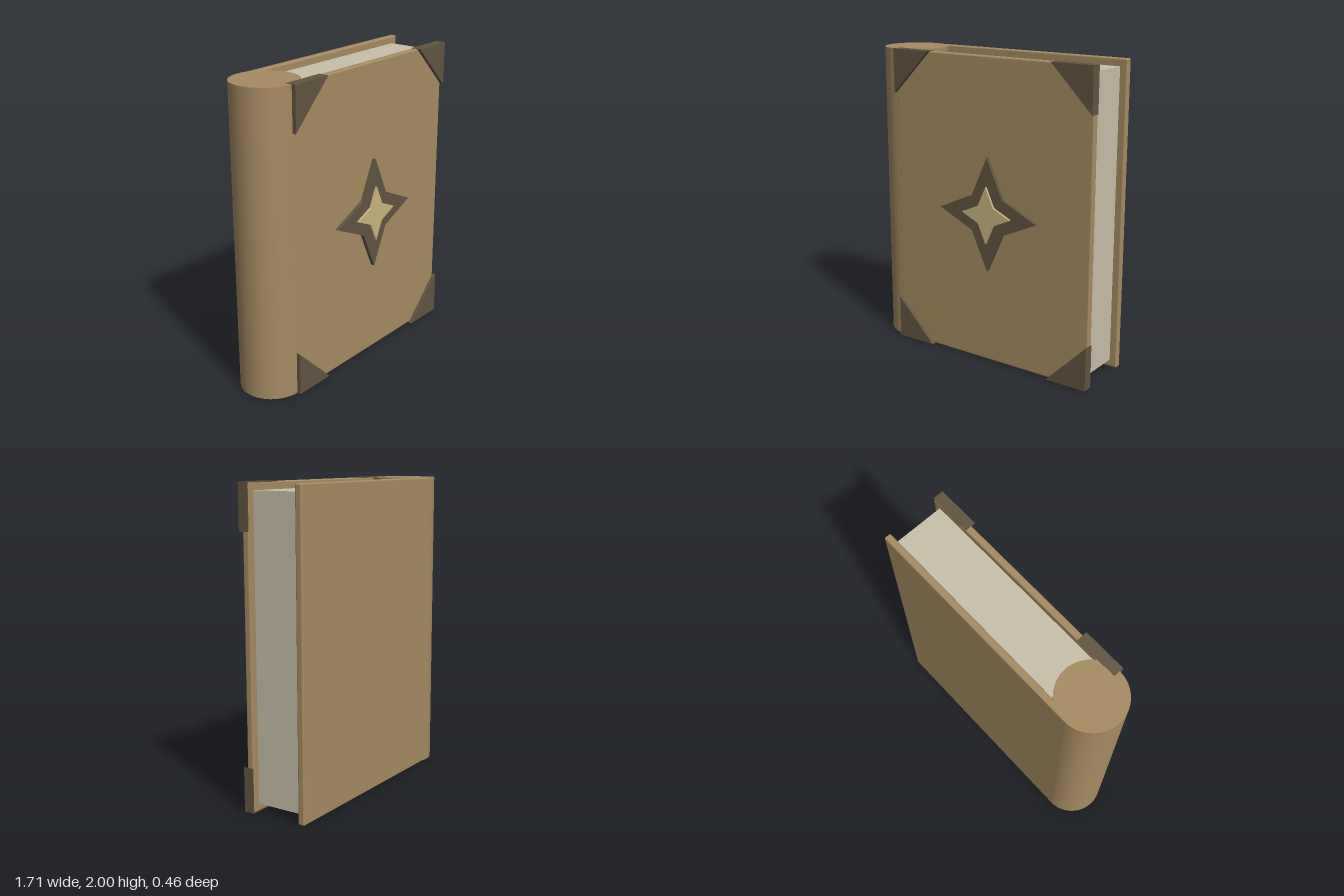
import * as THREE from 'three';
import { RoundedBoxGeometry } from 'three/addons/geometries/RoundedBoxGeometry.js';

const material = (name, color) => Object.assign(new THREE.MeshStandardMaterial({ color }), { name });

export function createModel() {
  const leather = material('leather', 0xa68b61);
  const paper = material('paper', 0xc9c0a9);
  const darkTrim = material('dark trim', 0x625540);
  const gold = material('pale gold', 0xcab581);

  const book = new THREE.Group();
  book.name = 'book';
  const add = (name, geometry, mat, x, y, z) => {
    const mesh = new THREE.Mesh(geometry, mat);
    mesh.name = name;
    mesh.position.set(x, y, z);
    book.add(mesh);
    return mesh;
  };
  const plate = (points, depth) => new THREE.ExtrudeGeometry(
    new THREE.Shape(points.map(([x, y]) => new THREE.Vector2(x, y))),
    { depth, bevelEnabled: false });

  // Round spine
  add('spine', new THREE.CylinderGeometry(0.21, 0.21, 1.996, 64), leather, -0.645, 1, -0.021);

  // Covers with softened edges
  const left = -0.643, right = 0.849;
  const cover = new RoundedBoxGeometry(right - left, 1.996, 0.045, 3, 0.01);
  add('frontCover', cover, leather, (left + right) / 2, 1, 0.1675);
  add('backCover', cover, leather, (left + right) / 2, 1, -0.2085);

  // Page block, tucked into the spine
  add('pages', new THREE.BoxGeometry(1.4, 1.9, 0.332), paper, 0.1, 1, -0.02);

  // Triangular corner guards
  for (const [side, x] of [['left', 0.851], ['right', -0.645]]) {
    for (const [level, y] of [['top', 2], ['bottom', 0]]) {
      const dx = x > 0 ? -0.287 : 0.287;
      const dy = y > 0 ? -0.287 : 0.287;
      add(`${side}-${level}CornerGuard`, plate([[0, 0], [dx, 0], [0, dy]], 0.068), darkTrim, x, y, 0.147);
    }
  }

  // Four-pointed star emblem in two layers
  const star = (tip, notch) => Array.from({ length: 8 }, (_, i) => {
    const r = i % 2 ? notch * Math.SQRT2 : tip;
    const a = i * Math.PI / 4;
    return [r * Math.cos(a), r * Math.sin(a)];
  });
  add('outerStar', plate(star(0.373, 0.117), 0.03), darkTrim, 0.105, 1, 0.185);
  add('innerStar', plate(star(0.187, 0.0585), 0.02), gold, 0.105, 1, 0.21);

  return book;
}
